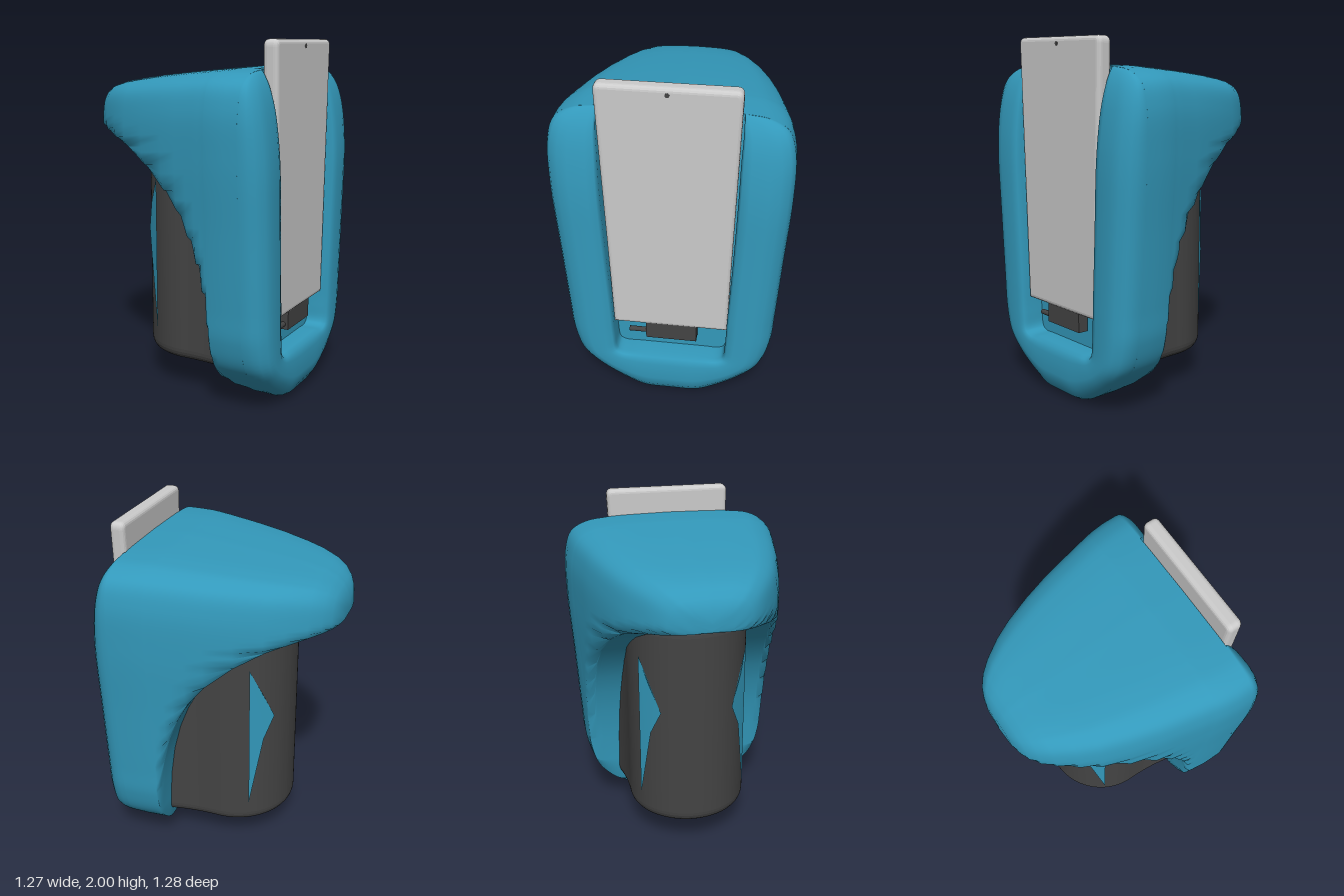
import * as THREE from 'three';
import { mergeVertices } from 'three/addons/utils/BufferGeometryUtils.js';

const mat = (color) => new THREE.MeshStandardMaterial({ color, side: THREE.DoubleSide });
const teal = mat(0x3399bb), dark = mat(0x444444), grey = mat(0xcccccc);
const { lerp, smoothstep, clamp } = THREE.MathUtils;

const part = (name, geometry, material) => {
  const m = new THREE.Mesh(geometry, material);
  m.name = name;
  return m;
};

// Smooth surface through rows of points
function grid(rows) {
  const n = rows[0].length, index = [];
  for (let i = 0; i < rows.length - 1; i++)
    for (let j = 0; j < n - 1; j++) {
      const a = i * n + j, b = a + n;
      index.push(a, b, b + 1, a, b + 1, a + 1);
    }
  const g = new THREE.BufferGeometry();
  g.setAttribute('position', new THREE.Float32BufferAttribute(rows.flat(2), 3));
  g.setIndex(index);
  const merged = mergeVertices(g, 1e-5);
  merged.computeVertexNormals();
  return merged;
}

const curve = (pts) => new THREE.CatmullRomCurve3(pts.map(([z, y]) => new THREE.Vector3(0, y, z)), false, 'centripetal');

// Half curve sampled on both sides, from the -z top down and up to the +z top
function mirrored(c, m) {
  const out = [];
  for (let k = -m; k <= m; k++) {
    const p = c.getPoint(Math.abs(k) / m);
    out.push([Math.sign(k) * p.z, p.y]);
  }
  return out;
}

// Half outline of the shell (z, y) and the slot edge paired with it
const OUTER = [[0, 0], [0.15, 0.005], [0.25, 0.05], [0.4, 0.15], [0.52, 0.27], [0.57, 0.42], [0.585, 0.6],
  [0.61, 1], [0.635, 1.4], [0.63, 1.65], [0.59, 1.77], [0.5, 1.825], [0.37, 1.845]];
const INNER = [[0, 0.3], [0.12, 0.3], [0.2, 0.3], [0.27, 0.3], [0.305, 0.32], [0.318, 0.42], [0.325, 0.6],
  [0.345, 1], [0.36, 1.4], [0.365, 1.62], [0.37, 1.73], [0.37, 1.8], [0.37, 1.845]];

// Hood stations: x, half width, top, lower edge
const STATIONS = [
  [-0.64, 0, 1.57, 1.525], [-0.635, 0.13, 1.62, 1.515], [-0.62, 0.19, 1.66, 1.51], [-0.6, 0.235, 1.69, 1.505],
  [-0.56, 0.285, 1.725, 1.495], [-0.5, 0.335, 1.752, 1.48], [-0.4, 0.4, 1.775, 1.45], [-0.3, 0.45, 1.79, 1.412],
  [-0.15, 0.505, 1.81, 1.325], [0, 0.55, 1.826, 1.2], [0.1, 0.573, 1.836, 1.08], [0.17, 0.588, 1.842, 0.95],
  [0.22, 0.6, 1.847, 0.82], [0.26, 0.608, 1.85, 0.66], [0.285, 0.613, 1.852, 0.48], [0.296, 0.616, 1.853, 0.3],
  [0.302, 0.617, 1.853, 0.14], [0.34, 0.625, 1.855, 0.08], [0.42, 0.635, 1.855, 0.04], [0.5, 0.635, 1.855, 0]];

function buildShell() {
  const g = new THREE.Group();
  g.name = 'shell';
  const outline = mirrored(curve([...OUTER, [0, 1.855]]), 110);
  g.add(part('hood', grid(STATIONS.map(([x, w, top, low]) => {
    const r = 0.04 * (1 - smoothstep(x, 0.3, 0.42));
    return outline.map(([z, y]) => {
      // cut at the lower edge, which is rounded with radius r
      const py = Math.max(low, y - (1.855 - top));
      const u = r > 0 ? 1 - clamp((py - low) / r, 0, 1) : 0;
      const inset = r * (1 - Math.sqrt(1 - u * u));
      return [x, py, z * w / 0.635 * (1 - inset / Math.max(w, 0.13))];
    });
  })), teal));

  // Flat wall behind the plate
  const wall = new THREE.ShapeGeometry(new THREE.Shape(outline.slice(1).map(([z, y]) => new THREE.Vector2(z, y))));
  g.add(part('slotWall', wall.rotateY(Math.PI / 2).translate(0.5, 0, 0), teal));

  // Rounded U-shaped rim around the slot: t runs from outer edge to slot
  const outer = mirrored(curve(OUTER), 60), inner = mirrored(curve(INNER), 60);
  const section = [[0, 0.5], [0, 0.53], [0.03, 0.56], [0.09, 0.59], [0.25, 0.622], [0.45, 0.635],
    [0.8, 0.633], [0.95, 0.62], [1, 0.595], [1, 0.5]];
  g.add(part('rim', grid(section.map(([t, x]) => outer.map(([z, y], k) => {
    const py = lerp(y, inner[k][1], t);
    const h = clamp((py - 1.25) / 0.6, 0, 1);
    const f = 1 - 0.6 * h ** 2 - 0.4 * h ** 8;
    return [0.5 + (x - 0.5) * f, py, lerp(z, inner[k][0], t)];
  }))), teal));
  return g;
}

function buildCup() {
  const g = new THREE.Group();
  g.name = 'cup';
  // Round front flaring into the shell, with a round opening
  const s = new THREE.Shape();
  s.moveTo(0.38, 0.4);
  s.quadraticCurveTo(0.2, 0.345, 0, 0.35);
  s.absarc(0, 0, 0.35, Math.PI / 2, Math.PI * 1.5, false);
  s.quadraticCurveTo(0.2, -0.345, 0.38, -0.4);
  s.closePath();
  s.holes.push(new THREE.Path().absarc(0, 0, 0.265, 0, Math.PI * 2, true));
  const body = new THREE.ExtrudeGeometry(s, { depth: 1.12, bevelThickness: 0.06, bevelSize: 0.04, bevelOffset: -0.04,
    bevelSegments: 5, curveSegments: 32 });
  body.rotateX(-Math.PI / 2).translate(0, 0.25, 0);
  g.add(part('cupBody', body, dark));

  // Lining of the front half of the opening
  const lining = new THREE.CylinderGeometry(0.26, 0.26, 1.15, 32, 1, true, Math.PI, Math.PI);
  g.add(part('cupLining', lining.translate(0, 0.83, 0), teal));

  // Slivers of the lining showing on both flanks
  for (const side of [1, -1]) {
    const sliver = new THREE.ShapeGeometry(new THREE.Shape([[-0.18, 0.33], [-0.18, 1.23], [-0.24, 1.08], [-0.295, 0.91],
      [-0.25, 0.77]].map(([x, y]) => new THREE.Vector2(x, y))));
    const p = sliver.attributes.position;
    for (let i = 0; i < p.count; i++) p.setZ(i, side * Math.sqrt(0.36 ** 2 - p.getX(i) ** 2));
    sliver.computeVertexNormals();
    g.add(part('flankSliver', sliver, teal));
  }
  return g;
}

function buildPlate() {
  const g = new THREE.Group();
  g.name = 'plateAssembly';
  // Tapered plate with soft edges
  const s = new THREE.Shape();
  s.moveTo(-0.322, 0.505);
  s.lineTo(0.322, 0.505);
  s.lineTo(0.366, 1.96);
  s.quadraticCurveTo(0.366, 2, 0.33, 2);
  s.lineTo(-0.33, 2);
  s.quadraticCurveTo(-0.366, 2, -0.366, 1.96);
  s.closePath();
  const plate = new THREE.ExtrudeGeometry(s, { depth: 0.035, bevelThickness: 0.025, bevelSize: 0.025, bevelOffset: -0.025,
    bevelSegments: 4 });
  g.add(part('plate', plate.rotateY(Math.PI / 2).translate(0.528, 0, 0), grey));

  const dot = new THREE.CylinderGeometry(0.012, 0.012, 0.004, 12);
  g.add(part('plateDot', dot.rotateZ(Math.PI / 2).translate(0.588, 1.963, 0), dark));
  g.add(part('connector', new THREE.BoxGeometry(0.06, 0.11, 0.29).translate(0.545, 0.455, -0.005), dark));
  const pin = new THREE.CylinderGeometry(0.015, 0.015, 0.1, 12);
  g.add(part('connectorPin', pin.rotateX(Math.PI / 2).translate(0.545, 0.43, 0.19), dark));
  return g;
}

export function createModel() {
  const model = new THREE.Group();
  model.name = 'hoodedHolder';
  model.add(buildShell(), buildCup(), buildPlate());
  return model;
}
